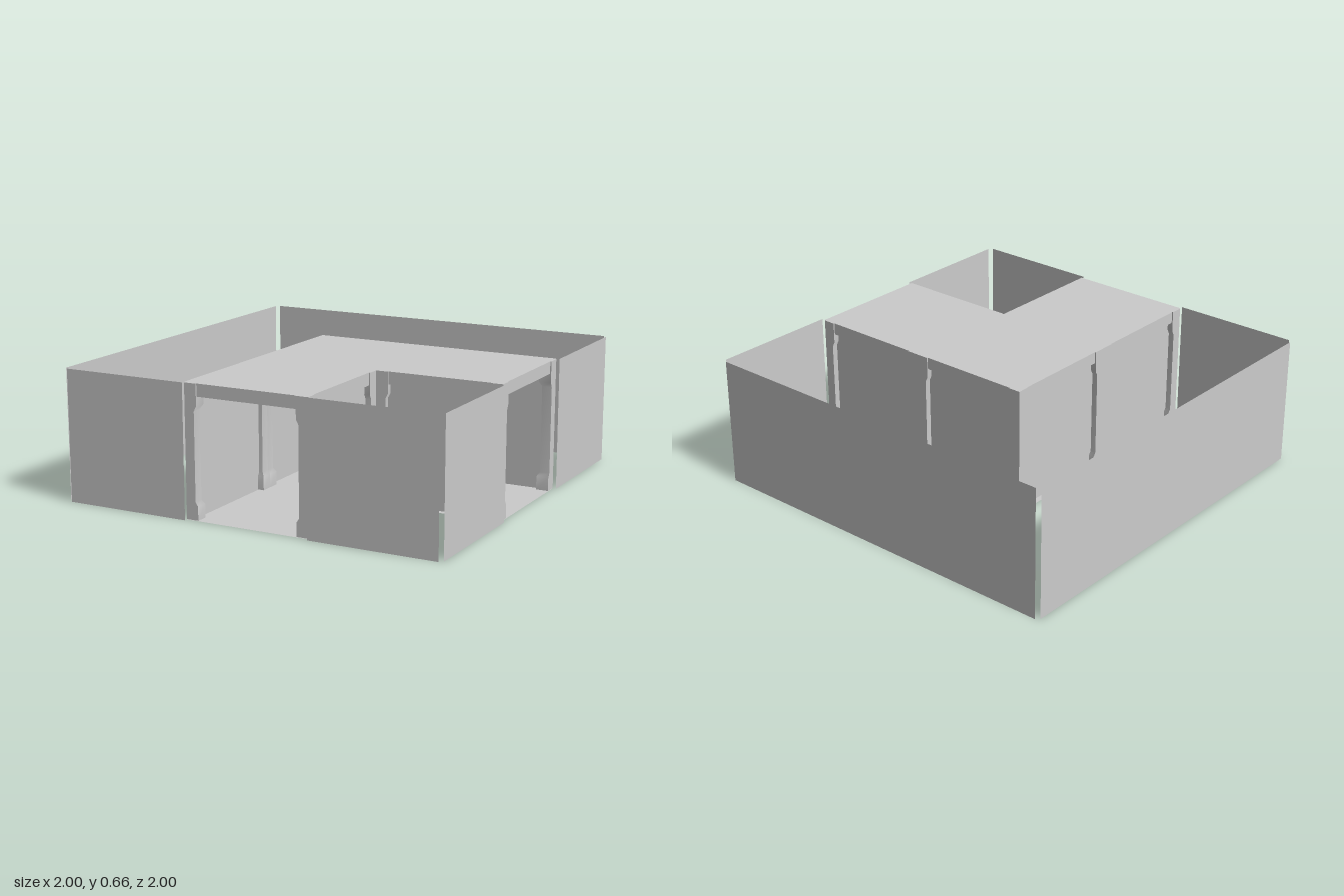
import * as THREE from 'three';

const H = 0.66;        // room height
const C = 0.655;       // cell pitch
const R = C / 2;       // half a cell
const END = R + C;     // outer end of each arm

const solid = new THREE.MeshStandardMaterial({ color: 0xcccccc });
const thin = new THREE.MeshStandardMaterial({ color: 0xcccccc, side: THREE.DoubleSide });

function add(parent, name, geometry, material) {
  const mesh = new THREE.Mesh(geometry, material);
  mesh.name = name;
  parent.add(mesh);
  return mesh;
}

// Thin upright sheet, facing z (turn = 0) or x (turn = 90 degrees)
function sheet(parent, name, width, height, x, z, alongZ) {
  const mesh = add(parent, name, new THREE.PlaneGeometry(width, height), thin);
  mesh.position.set(x, height / 2, z);
  if (alongZ) mesh.rotation.y = Math.PI / 2;
  return mesh;
}

// Corner post with a wider foot and head; its inner faces step back between them
function postGeometry(sx, sz) {
  const levels = [0.002, 0.07, 0.09, 0.525, 0.55, H - 0.003];
  const widths = [0.063, 0.063, 0.05, 0.05, 0.063, 0.063];
  const g = new THREE.BoxGeometry(1, 5, 1, 1, 5, 1);
  const p = g.attributes.position;
  for (let i = 0; i < p.count; i++) {
    const k = Math.round(p.getY(i) + 2.5);
    const inset = (v, s) => s * (R - (v * s > 0 ? 0 : widths[k]));
    p.setXYZ(i, inset(p.getX(i), sx), levels[k], inset(p.getZ(i), sz));
  }
  g.computeVertexNormals();
  return g;
}

export function createModel() {
  const model = new THREE.Group();
  model.name = 'corridorCorner';

  // L-shaped floor and ceiling
  const plan = new THREE.Shape([
    [-R, -R], [END, -R], [END, R], [R, R], [R, END], [-R, END],
  ].map(([x, z]) => new THREE.Vector2(x, z)));
  const slab = new THREE.ShapeGeometry(plan).rotateX(Math.PI / 2);
  add(model, 'floor', slab, thin);
  add(model, 'ceiling', slab, thin).position.y = H;

  // Three square cells; sides are [direction x, direction z, closed by a panel]
  const cells = [
    { x: 0, z: 0, sides: [[-1, 0, true], [0, -1, true]] },
    { x: C, z: 0, sides: [[0, -1, true], [0, 1, true], [1, 0, false]] },
    { x: 0, z: C, sides: [[-1, 0, true], [1, 0, true], [0, 1, false]] },
  ];
  for (const { x, z, sides } of cells) {
    const cell = new THREE.Group();
    cell.name = 'cell';
    cell.position.set(x, 0, z);
    model.add(cell);

    for (const sx of [-1, 1]) for (const sz of [-1, 1]) {
      add(cell, 'post', postGeometry(sx, sz), solid);
    }

    for (const [dx, dz, closed] of sides) {
      const alongZ = dx !== 0;
      // Lintel between the post heads
      const lintel = add(cell, 'lintel', new THREE.BoxGeometry(0.53, 0.062, 0.05), solid);
      lintel.position.set(dx * (R - 0.031), H - 0.034, dz * (R - 0.031));
      if (alongZ) lintel.rotation.y = Math.PI / 2;
      // Recessed wall panel
      if (closed) {
        const d = R - 0.03;
        sheet(cell, 'wallPanel', C - 0.06, H - 0.01, dx * d, dz * d, alongZ);
      }
    }
  }

  // Outer enclosure: two full walls, and two with a doorway
  const full = 2 * END;
  const mid = (R + END) / 2;
  sheet(model, 'backWall', full, H, 0, -1, false);
  sheet(model, 'rightWall', full, H, -1, 0, true);
  for (const s of [-1, 1]) {
    sheet(model, 'frontWall', C, H, s * mid, 1, false);
    sheet(model, 'leftWall', C, H, 1, s * mid, true);
  }
  return model;
}
